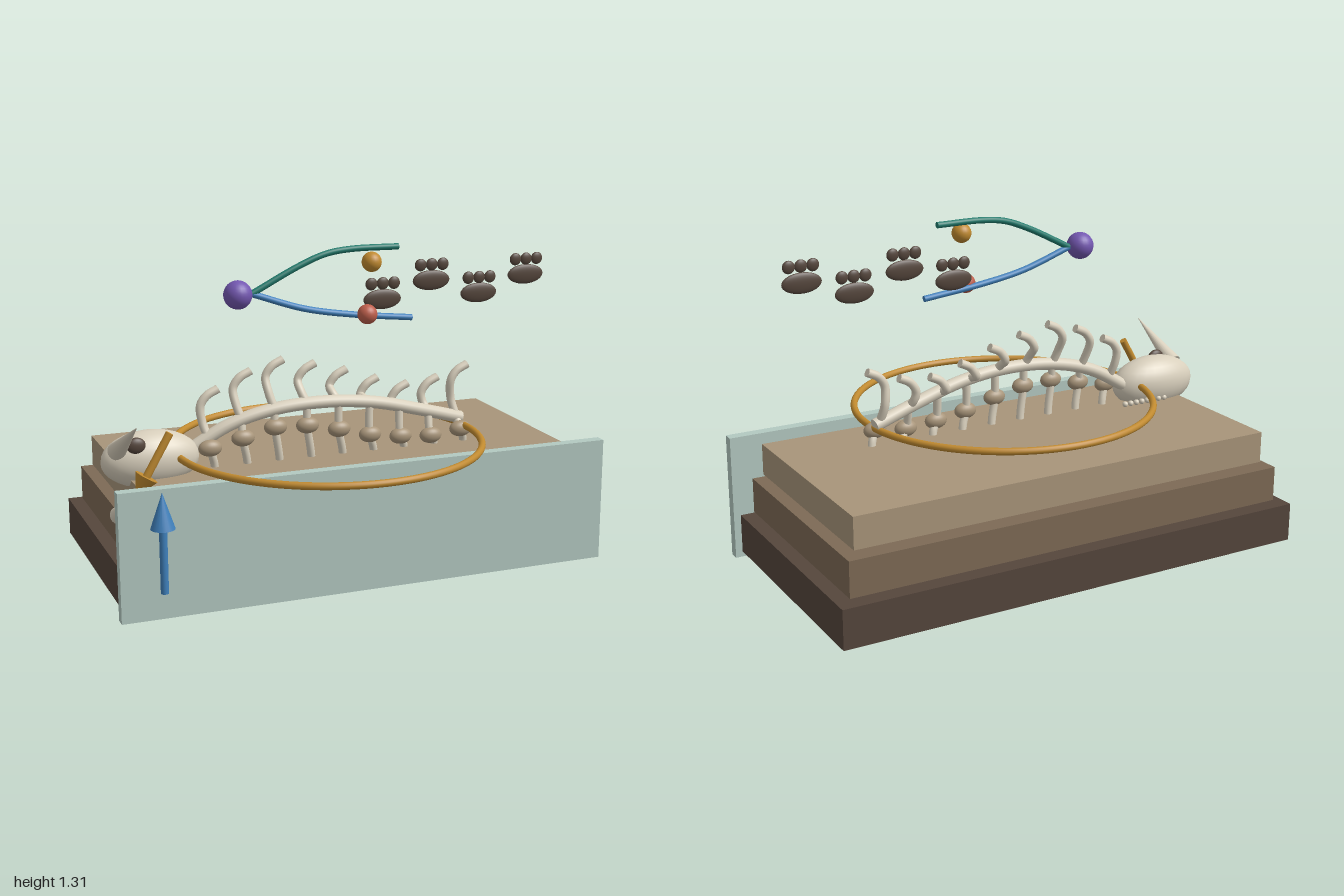
import * as THREE from 'three';

const mat = (name, color) => {
  const m = new THREE.MeshStandardMaterial({ color });
  m.name = name;
  return m;
};
const V = (x, y, z) => new THREE.Vector3(x, y, z);

export function createModel() {
  const bone = mat('bone', 0xd8cfbc);
  const sand = mat('sand', 0xa8957a);
  const soil = mat('soil', 0x7d6a55);
  const dark = mat('dark earth', 0x55463c);
  const glass = mat('pale glass', 0xb3c9c1);
  const gold = mat('gold', 0xc08a30);
  const blue = mat('blue', 0x3f80bb);
  const purple = mat('purple', 0x7357b0);
  const teal = mat('teal', 0x207a6c);
  const red = mat('red', 0xbe5f4c);

  const model = new THREE.Group();
  const add = (name, geo, material, parent = model) => {
    const mesh = new THREE.Mesh(geo, material);
    mesh.name = name;
    parent.add(mesh);
    return mesh;
  };
  const group = (name) => {
    const g = new THREE.Group();
    g.name = name;
    model.add(g);
    return g;
  };
  const slab = (name, m, x0, x1, y0, y1, z0, z1) =>
    add(name, new THREE.BoxGeometry(x1 - x0, y1 - y0, z1 - z0), m)
      .position.set((x0 + x1) / 2, (y0 + y1) / 2, (z0 + z1) / 2);
  const ellipsoid = (name, m, p, r, parent) => {
    const e = add(name, new THREE.SphereGeometry(1, 24, 16), m, parent);
    e.position.copy(p);
    e.scale.copy(r);
    return e;
  };
  const ball = (name, m, p, r, parent) => ellipsoid(name, m, p, V(r, r, r), parent);
  // Tapered rod from a to b
  const rod = (name, m, a, b, ra, rb, parent) => {
    const d = b.clone().sub(a);
    const r = add(name, new THREE.CylinderGeometry(rb, ra, d.length(), 20), m, parent);
    r.position.copy(a).addScaledVector(d, 0.5);
    r.quaternion.setFromUnitVectors(V(0, 1, 0), d.normalize());
  };
  // Smooth tube with flat end caps
  const tube = (name, m, pts, r, parent) => {
    const curve = new THREE.CatmullRomCurve3(pts);
    add(name, new THREE.TubeGeometry(curve, 40, r, 12), m, parent);
    for (const t of [0, 1]) {
      const cap = add(name + 'Cap', new THREE.CircleGeometry(r, 12), m, parent);
      cap.position.copy(curve.getPoint(t));
      cap.quaternion.setFromUnitVectors(V(0, 0, 1), curve.getTangent(t).multiplyScalar(t ? 1 : -1));
    }
  };
  const arrow = (name, m, tail, neck, tip, parent) => {
    rod(name + 'Shaft', m, tail, neck, 0.015, 0.015, parent);
    rod(name + 'Head', m, neck, tip, 0.046, 0, parent);
  };

  // Stepped earth layers and the front panel
  slab('bottomLayer', dark, -0.98, 0.975, 0.026, 0.18, -0.696, 0.275);
  slab('middleLayer', soil, -0.93, 0.925, 0.19, 0.33, -0.648, 0.258);
  slab('topLayer', sand, -0.89, 0.885, 0.345, 0.47, -0.603, 0.244);
  slab('frontPanel', glass, -1, 1, 0, 0.5, 0.284, 0.328);

  // Skull with eye, horns and teeth
  const skull = group('skull');
  ellipsoid('cranium', bone, V(-0.798, 0.53, 0.02), V(0.192, 0.112, 0.098), skull);
  ellipsoid('eye', dark, V(-0.87, 0.607, 0.098), V(0.037, 0.031, 0.018), skull);
  for (const drop of [0, 0.252]) {
    rod('horn', bone, V(-0.935, 0.582 - drop, 0.06), V(-0.912, 0.728 - drop, 0.295), 0.036, 0.001, skull);
  }
  for (let i = 0; i < 8; i++) {
    ball('tooth', bone, V(-0.8 + i * 0.028, 0.48, -0.066), 0.012, skull);
  }

  // Arched backbone
  const skeleton = group('skeleton');
  const spine = [[-0.64, 0.54, 0], [-0.48, 0.63, 0.015], [-0.3, 0.678, 0.025], [-0.09, 0.69, 0.03],
    [0.12, 0.668, 0.025], [0.33, 0.615, 0.01], [0.52, 0.56, -0.01]].map((p) => V(...p));
  tube('backbone', bone, spine, 0.026, skeleton);

  // Ribs: a hooked upper rib, a buried lower rib and a knob on each
  const tipY = [0.775, 0.835, 0.87, 0.845, 0.81, 0.765, 0.73, 0.745, 0.787];
  const knobY = [0.55, 0.577, 0.608, 0.603, 0.575, 0.54, 0.52, 0.51, 0.525];
  const spineCurve = new THREE.CatmullRomCurve3(spine);
  const samples = spineCurve.getPoints(200);
  tipY.forEach((ty, i) => {
    const x = -0.565 + i * 0.133;
    const s = samples.reduce((a, b) => (Math.abs(b.x - x) < Math.abs(a.x - x) ? b : a));
    const top = ty - 0.02;
    tube('upperRib', bone, [V(x, s.y, s.z), V(x - 0.016, (s.y + top - 0.05) / 2, s.z - 0.02),
      V(x - 0.02, top - 0.05, -0.02), V(x + 0.005, top - 0.012, -0.02), V(x + 0.052, top + 0.013, -0.02)],
      0.017, skeleton);
    tube('lowerRib', bone, [V(x, s.y, s.z), V(x, knobY[i], 0.03), V(x + 0.02, 0.48, 0.02),
      V(x + 0.03, 0.38, 0)], 0.016, skeleton);
    ellipsoid('ribKnob', sand, V(x, knobY[i], 0.035), V(0.047, 0.033, 0.03), skeleton);
  });

  // Flat ring around the skeleton
  const ring = add('ring', new THREE.TorusGeometry(0.607, 0.014, 14, 96), gold);
  ring.rotation.x = Math.PI / 2;
  ring.position.set(-0.095, 0.54, 0.067);

  // Pointing arrows
  arrow('goldArrow', gold, V(-0.765, 0.67, 0.195), V(-0.857, 0.512, 0.195), V(-0.9, 0.44, 0.195), group('goldArrow'));
  arrow('blueArrow', blue, V(-0.845, 0.115, 0.367), V(-0.845, 0.363, 0.367), V(-0.845, 0.5, 0.367), group('blueArrow'));

  // Branching path with end balls
  const fork = group('branchingPath');
  ball('rootBall', purple, V(-0.455, 1.145, 0.072), 0.055, fork);
  tube('upperBranch', teal, [V(-0.4, 1.145, 0.07), V(-0.21, 1.24, 0.07), V(-0.1, 1.281, 0.07),
    V(0, 1.294, 0.07), V(0.2, 1.294, 0.07)], 0.0125, fork);
  tube('lowerBranch', blue, [V(-0.4, 1.145, 0.07), V(-0.19, 1.075, 0.07), V(0, 1.04, 0.07),
    V(0.26, 1.01, 0.07)], 0.0125, fork);
  ball('upperBall', gold, V(0.075, 1.245, 0.104), 0.039, fork);
  ball('lowerBall', red, V(0.058, 1.042, 0.104), 0.039, fork);

  // Row of footprints
  for (let i = 0; i < 4; i++) {
    const print = group('footprint');
    print.position.set(0.153 + i * 0.21, i % 2 ? 1.145 : 1.082, 0.026);
    ellipsoid('pad', dark, V(0, 0, 0), V(0.08, 0.04, 0.013), print);
    for (const x of [-0.048, 0, 0.048]) {
      ellipsoid('toe', dark, V(x, 0.063, 0.004), V(0.025, 0.025, 0.011), print);
    }
  }
  return model;
}
